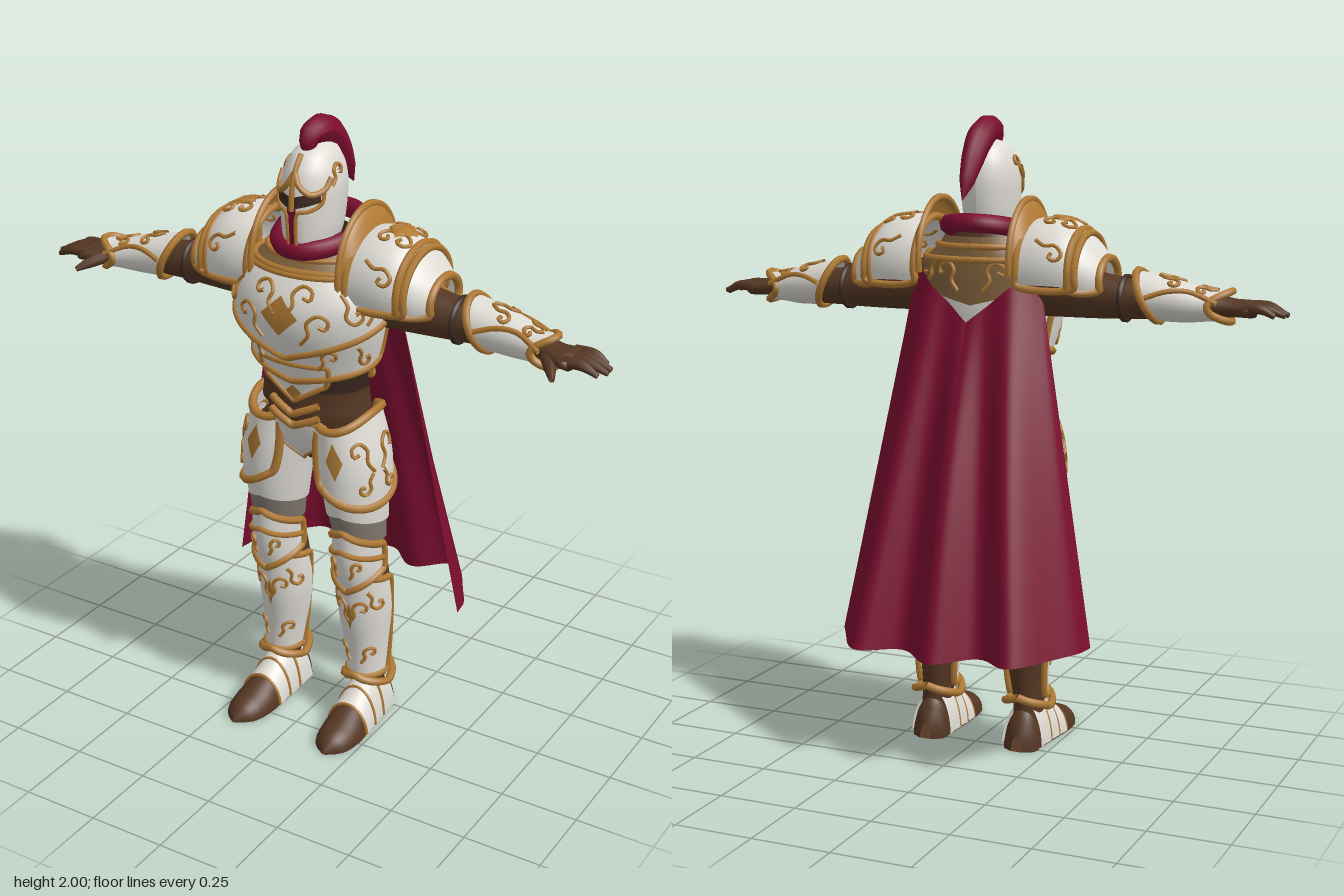
import * as THREE from 'three';

const mat = (name, color) => new THREE.MeshStandardMaterial({ name, color, side: THREE.DoubleSide });
const white = mat('white plate', 0xdedbd4), gold = mat('gold trim', 0xb07a34), crimson = mat('crimson cloth', 0x7c0d30);
const brown = mat('brown leather', 0x553723), dark = mat('dark leather', 0x3d2a20);
const mail = mat('grey mail', 0x827a70), bronze = mat('dull bronze', 0x80623c);

const val = (f, a) => (typeof f === 'function' ? f(a) : f);
const add = (parent, name, geometry, material) => {
  const m = new THREE.Mesh(geometry, material);
  m.name = name;
  parent.add(m);
  return m;
};

// Smooth elliptical surface along an axis; rows are [t, centre1, centre2, radius1, radius2].
// Angle 0 faces the front (axis y) or up (axes x and z).
function surface(axis, rows) {
  const spline = new THREE.CubicInterpolant(rows.map(r => r[0]), rows.flatMap(r => r.slice(1)), 4);
  const f = (a, t, off = 0) => {
    const [c, d, r, q] = spline.evaluate(t), s = Math.sin(a * Math.PI / 180), k = Math.cos(a * Math.PI / 180);
    const R = Math.max(r + off, 0), Q = Math.max(q + off, 0);
    if (axis === 'y') return new THREE.Vector3(c + R * s, t, d + Q * k);
    if (axis === 'x') return new THREE.Vector3(t, c + R * k, d + Q * s);
    return new THREE.Vector3(c - R * s, Math.max(0, d + Q * k), t);
  };
  f.radius = t => { const v = spline.evaluate(t); return (v[2] + v[3]) / 2; };
  return f;
}

function grid(nu, nv, point) {
  const pos = [], index = [];
  for (let j = 0; j <= nv; j++) for (let i = 0; i <= nu; i++) pos.push(...point(i / nu, j / nv).toArray());
  for (let j = 0; j < nv; j++) for (let i = 0; i < nu; i++) {
    const p = j * (nu + 1) + i, q = p + nu + 1;
    index.push(p, p + 1, q + 1, p, q + 1, q);
  }
  const g = new THREE.BufferGeometry();
  g.setAttribute('position', new THREE.Float32BufferAttribute(pos, 3));
  g.setIndex(index);
  g.computeVertexNormals();
  return g;
}

// Patch of a surface; its two edges may vary with the angle.
function plate(parent, name, material, surf, a0, a1, t0, t1, off = 0, nT = 10) {
  return add(parent, name, grid(32, nT, (u, v) => {
    const a = a0 + (a1 - a0) * u;
    return surf(a, THREE.MathUtils.lerp(val(t0, a), val(t1, a), v), off);
  }), material);
}

// Raised gold line through [angle, t] points of a surface.
function line(parent, surf, pts, off, r = 0.009, closed = false, material = gold) {
  const curve = new THREE.CatmullRomCurve3(pts.map(([a, t]) => surf(a, t, off)), closed);
  return add(parent, 'trim', new THREE.TubeGeometry(curve, pts.length * 3, r, 6, closed), material);
}
const along = (a0, a1, t, n = 16) =>
  Array.from({ length: n + 1 }, (_, i) => { const a = a0 + (a1 - a0) * i / n; return [a, val(t, a)]; });

// White plate with a gold border.
function armour(parent, name, surf, a0, a1, t0, t1, off, r = 0.011) {
  plate(parent, name, white, surf, a0, a1, t0, t1, off);
  if (a1 - a0 >= 360) for (const t of [t0, t1]) line(parent, surf, along(a0, a1, t), off, r);
  else line(parent, surf, [...along(a0, a1, t0), ...along(a1, a0, t1)], off, r, true);
}

const CURL = [[-0.3, -1], [0.1, -0.3], [0, 0.4], [0.5, 0.9], [1, 0.6], [0.9, 0.1], [0.55, 0.25]];
function curl(parent, surf, a, t, size, sa, st, off) {
  const k = size * 57.3 / surf.radius(t);
  line(parent, surf, CURL.map(([u, v]) => [a + sa * u * k, t + st * v * size]), off, 0.006).name = 'filigree';
}
const diamond = (parent, surf, a, t, da, dt, off) => plate(parent, 'emblem', gold, surf, a - da, a + da,
  x => t - dt * (1 - Math.abs(x - a) / da), x => t + dt * (1 - Math.abs(x - a) / da), off, 3);

// Tube with changing thickness; sx flattens it sideways.
function taper(parent, name, material, pts, radii, sx = 1, n = 24) {
  const curve = new THREE.CatmullRomCurve3(pts.map(p => new THREE.Vector3(...p)));
  const g = new THREE.TubeGeometry(curve, n, 1, 10), p = g.attributes.position, v = new THREE.Vector3();
  for (let i = 0; i < p.count; i++) {
    const s = Math.floor(i / 11) / n, c = curve.getPointAt(s), w = curve.getUtoTmapping(s) * (radii.length - 1);
    const k = Math.min(Math.floor(w), radii.length - 2), r = THREE.MathUtils.lerp(radii[k], radii[k + 1], w - k);
    v.fromBufferAttribute(p, i).sub(c).multiplyScalar(r);
    p.setXYZ(i, c.x + v.x * sx, c.y + v.y, c.z + v.z);
  }
  g.computeVertexNormals();
  return add(parent, name, g, material);
}

function mirrored(group, name) {
  const out = new THREE.Group();
  out.name = name;
  for (const m of group.children) {
    const g = m.geometry.clone().scale(-1, 1, 1), ix = g.index.array;
    for (let i = 0; i < ix.length; i += 3) [ix[i], ix[i + 1]] = [ix[i + 1], ix[i]];
    add(out, m.name, g, m.material);
  }
  return out;
}

function buildTorso() {
  const g = new THREE.Group();
  g.name = 'torso';
  const body = surface('y', [[0.92, 0, 0.1, 0.03, 0.05], [0.98, 0, 0.1, 0.12, 0.095], [1.08, 0, 0.11, 0.165, 0.115],
    [1.18, 0, 0.115, 0.16, 0.11], [1.28, 0, 0.12, 0.19, 0.13], [1.4, 0, 0.132, 0.218, 0.155],
    [1.48, 0, 0.13, 0.22, 0.152], [1.55, 0, 0.112, 0.19, 0.13], [1.6, 0, 0.095, 0.13, 0.105], [1.66, 0, 0.09, 0.09, 0.085]]);
  plate(g, 'undersuit', brown, body, -180, 180, 0.92, 1.66, 0, 30);
  plate(g, 'lower belt', brown, body, -180, 180, 1.11, 1.18, 0.014, 3);
  plate(g, 'upper belt', dark, body, -180, 180, 1.18, 1.25, 0.008, 3);
  armour(g, 'waist plate', body, -34, 34, a => 1.15 + Math.abs(a) * 0.0018, 1.28, 0.016, 0.009);
  armour(g, 'abdomen plate', body, -105, 105, a => 1.22 + Math.abs(a) * 0.0006, 1.42, 0.018);
  armour(g, 'breastplate', body, -100, 100, a => 1.31 + Math.abs(a) * 0.0013, 1.57, 0.032);
  armour(g, 'back plate', body, 100, 260, 1.22, 1.57, 0.014);
  plate(g, 'back collar plate', bronze, body, 118, 242, a => 1.42 + Math.abs(a - 180) * 0.001, 1.61, 0.022);
  plate(g, 'gorget', bronze, body, -180, 180, 1.555, 1.63, 0.028, 4);
  for (const t of [1.56, 1.6]) line(g, body, along(-180, 180, t, 24), 0.03, 0.01);
  armour(g, 'groin plate', body, -32, 32, a => 0.935 + Math.abs(a) * 0.0022, 1.08, 0.022, 0.005);
  for (const y of [1.09, 1.13]) line(g, body, along(-26, 26, a => y - 0.02 + Math.abs(a) * 0.0014, 8), 0.026, 0.012);
  diamond(g, body, 0, 1.45, 14, 0.06, 0.038);
  diamond(g, body, 0, 1.18, 9, 0.025, 0.022);
  for (const s of [-1, 1]) {
    curl(g, body, s * 8, 1.5, 0.045, s, 1, 0.034);
    curl(g, body, s * 20, 1.42, 0.05, s, 1, 0.034);
    curl(g, body, s * 48, 1.48, 0.045, s, -1, 0.034);
    curl(g, body, s * 70, 1.47, 0.04, s, 1, 0.034);
    curl(g, body, s * 30, 1.31, 0.035, s, 1, 0.02);
    curl(g, body, s * 65, 1.32, 0.035, s, -1, 0.02);
    curl(g, body, 180 + s * 14, 1.51, 0.045, s, 1, 0.026);
    curl(g, body, 180 + s * 38, 1.52, 0.035, s, -1, 0.026);
  }
  // Rolled cloth around the neck
  const scarf = new THREE.CatmullRomCurve3(Array.from({ length: 16 }, (_, i) => {
    const a = i / 8 * Math.PI;
    return new THREE.Vector3(0.112 * Math.sin(a), 1.65 - 0.025 * Math.cos(a), 0.085 + 0.145 * Math.cos(a));
  }), true);
  add(g, 'neck scarf', new THREE.TubeGeometry(scarf, 48, 0.03, 8, true), crimson);
  return g;
}

function buildHead() {
  const g = new THREE.Group();
  g.name = 'head';
  const helm = surface('y', [[1.61, 0, 0.14, 0.062, 0.095], [1.66, 0, 0.13, 0.078, 0.112], [1.75, 0, 0.122, 0.088, 0.122],
    [1.82, 0, 0.118, 0.088, 0.118], [1.88, 0, 0.114, 0.07, 0.095], [1.915, 0, 0.11, 0.042, 0.058], [1.93, 0, 0.11, 0, 0]]);
  plate(g, 'helmet', white, helm, -180, 180, 1.61, 1.93, 0, 24);
  plate(g, 'visor slit', dark, helm, -50, 50, a => 1.755 + Math.abs(a) * 0.0004, a => 1.79 + Math.abs(a) * 0.0004, 0.004, 2);
  plate(g, 'mouth slit', crimson, helm, -9, 9, 1.63, 1.76, 0.004, 4);
  for (const s of [-1, 1]) {
    line(g, helm, [[s * 10, 1.63], [s * 9, 1.7], [s * 12, 1.745], [s * 30, 1.75], [s * 52, 1.77], [s * 56, 1.81]], 0.004, 0.006);
    line(g, helm, [[0, 1.86], [s * 12, 1.825], [s * 32, 1.8], [s * 56, 1.81], [s * 68, 1.84]], 0.004, 0.009);
    curl(g, helm, s * 75, 1.845, 0.03, s, 1, 0.004);
  }
  line(g, helm, [[0, 1.75], [0, 1.8], [0, 1.86], [0, 1.905]], 0.004, 0.009);
  line(g, helm, along(-100, 100, a => 1.615 + Math.abs(a) * 0.0003), 0.003, 0.008);
  // Swept-back crest
  taper(g, 'plume', crimson, [[0, 1.9, 0.15], [0, 1.945, 0.145], [0, 1.953, 0.09], [0, 1.925, 0.03], [0, 1.865, -0.025],
    [0, 1.8, -0.068], [0, 1.745, -0.102]], [0.022, 0.036, 0.046, 0.048, 0.04, 0.027, 0.002], 0.85);
  return g;
}

function buildArm() {
  const g = new THREE.Group();
  g.name = 'leftArm';
  const arm = surface('x', [[0.15, 1.47, 0.08, 0.085, 0.085], [0.3, 1.465, 0.075, 0.08, 0.078], [0.42, 1.455, 0.07, 0.068, 0.07],
    [0.5, 1.45, 0.07, 0.06, 0.063], [0.65, 1.445, 0.08, 0.052, 0.055], [0.75, 1.435, 0.1, 0.036, 0.045],
    [0.81, 1.432, 0.115, 0.026, 0.055], [0.86, 1.43, 0.118, 0.022, 0.055], [0.875, 1.43, 0.118, 0, 0]]);
  plate(g, 'sleeve and palm', brown, arm, -180, 180, 0.15, 0.875, 0, 30);
  line(g, arm, along(-180, 180, 0.47), 0.002, 0.01, false, dark);
  const bracer = surface('x', [[0.49, 1.457, 0.075, 0.084, 0.086], [0.57, 1.455, 0.077, 0.07, 0.078],
    [0.66, 1.445, 0.085, 0.06, 0.068], [0.74, 1.437, 0.1, 0.046, 0.06], [0.8, 1.437, 0.11, 0.046, 0.068]]);
  armour(g, 'bracer', bracer, -180, 180, a => 0.54 - 0.035 * Math.cos(a * Math.PI / 180),
    a => 0.76 + 0.03 * Math.cos(a * Math.PI / 90), 0, 0.012);
  for (const s of [-1, 1]) {
    line(g, bracer, [[s * 85, 0.55], [s * 60, 0.62], [s * 50, 0.68], [s * 75, 0.76]], 0.003, 0.008);
    curl(g, bracer, s * 12, 0.61, 0.035, s, 1, 0.003);
    curl(g, bracer, s * 12, 0.72, 0.028, s, -1, 0.003);
  }
  [[0.07, 0.93], [0.1, 0.955], [0.13, 0.958], [0.16, 0.94]].forEach(([z, x]) =>
    taper(g, 'finger', brown, [[0.83, 1.435, z], [0.89, 1.436, z], [x, 1.415, z]], [0.018, 0.016, 0.008], 1, 8));
  taper(g, 'thumb', brown, [[0.77, 1.43, 0.13], [0.805, 1.415, 0.18], [0.83, 1.4, 0.22]], [0.022, 0.018, 0.008], 1, 8);

  // Domed shoulder with an upright flange toward the neck
  const dome = surface('x', [[0.15, 1.53, 0.07, 0.145, 0.155], [0.24, 1.535, 0.07, 0.15, 0.16], [0.31, 1.53, 0.07, 0.14, 0.15],
    [0.37, 1.515, 0.07, 0.105, 0.125], [0.42, 1.5, 0.07, 0.06, 0.08]]);
  armour(g, 'pauldron', dome, -105, 105, 0.17, 0.35, 0.006, 0.012);
  armour(g, 'pauldron lower lame', dome, -110, 110, 0.33, 0.41, 0, 0.013);
  const flange = surface('x', [[0.15, 1.555, 0.07, 0.19, 0.168], [0.165, 1.55, 0.07, 0.18, 0.163], [0.19, 1.53, 0.07, 0.145, 0.155]]);
  plate(g, 'pauldron flange', gold, flange, -100, 100, 0.15, 0.19, 0, 4);
  line(g, flange, along(-100, 100, 0.15), 0, 0.011);
  diamond(g, dome, 0, 0.275, 20, 0.045, 0.012);
  for (const s of [-1, 1]) {
    curl(g, dome, s * 8, 0.28, 0.045, s, 1, 0.008);
    curl(g, dome, s * 10, 0.26, 0.04, s, -1, 0.008);
    curl(g, dome, s * 58, 0.27, 0.045, s, 1, 0.008);
  }
  return g;
}

function buildLeg() {
  const g = new THREE.Group();
  g.name = 'leftLeg';
  const leg = surface('y', [[0.06, 0.163, 0.06, 0.05, 0.07], [0.15, 0.16, 0.06, 0.048, 0.062], [0.25, 0.155, 0.055, 0.056, 0.07],
    [0.38, 0.15, 0.055, 0.072, 0.092], [0.46, 0.15, 0.06, 0.073, 0.092], [0.6, 0.15, 0.08, 0.066, 0.085],
    [0.67, 0.15, 0.095, 0.068, 0.088], [0.76, 0.145, 0.108, 0.078, 0.098], [0.9, 0.132, 0.11, 0.088, 0.108], [1.04, 0.1, 0.105, 0.085, 0.1]]);
  plate(g, 'leather legging', brown, leg, -180, 180, 0.06, 1.04, 0, 36);
  plate(g, 'knee mail', mail, leg, -110, 110, 0.67, 0.79, 0.01, 4);
  plate(g, 'thigh plate', white, leg, -155, 155, a => 0.78 - Math.abs(a) * 0.0004, 1.0, 0.014);
  armour(g, 'greave', leg, -98, 98, 0.17, a => 0.56 - Math.abs(a) * 0.0004, 0.013);
  line(g, leg, along(-180, 180, a => 0.135 + 0.04 * Math.abs(1 - Math.abs(a) / 90)), 0.026, 0.013);
  const knee = surface('y', [[0.47, 0.15, 0.07, 0.073, 0.1], [0.55, 0.15, 0.085, 0.08, 0.112],
    [0.62, 0.15, 0.09, 0.08, 0.118], [0.72, 0.148, 0.1, 0.08, 0.108]]);
  armour(g, 'knee plate', knee, -88, 88, a => 0.5 + Math.abs(a) * 0.0008, a => 0.72 - Math.abs(a) * 0.0007, 0, 0.013);
  line(g, knee, along(-85, 85, a => 0.655 - Math.abs(a) * 0.0005), 0.004, 0.009);
  // Hip guard
  const hip = surface('y', [[0.78, 0.138, 0.11, 0.108, 0.135], [0.95, 0.132, 0.11, 0.11, 0.14], [1.11, 0.11, 0.11, 0.09, 0.125]]);
  armour(g, 'tasset', hip, -28, 165, a => 0.82 + 0.08 * ((a - 65) / 100) ** 2, a => 1.09 - 0.02 * Math.cos(a / 30), 0, 0.014);
  for (const s of [-1, 1]) {
    curl(g, hip, 75 + s * 14, 0.99, 0.05, s, 1, 0.003);
    curl(g, hip, 75 + s * 14, 0.9, 0.035, s, -1, 0.003);
    curl(g, leg, s * 8, 0.42, 0.04, s, 1, 0.015);
    curl(g, leg, s * 45, 0.46, 0.035, s, -1, 0.015);
    curl(g, leg, s * 25, 0.25, 0.03, s, 1, 0.015);
    curl(g, knee, s * 20, 0.59, 0.03, s, 1, 0.004);
  }
  diamond(g, hip, 8, 0.98, 14, 0.06, 0.005);
  diamond(g, leg, 0, 0.4, 8, 0.05, 0.017);
  // Armoured boot
  const boot = surface('z', [[-0.042, 0.16, 0, 0.02, 0.05], [-0.03, 0.16, 0, 0.045, 0.09], [0.03, 0.16, 0, 0.055, 0.14],
    [0.1, 0.162, 0, 0.062, 0.14], [0.18, 0.165, 0, 0.068, 0.1], [0.26, 0.168, 0, 0.068, 0.07], [0.33, 0.17, 0, 0.045, 0.045], [0.36, 0.172, 0, 0.005, 0.01]]);
  plate(g, 'boot', brown, boot, -180, 180, -0.042, 0.36, 0, 20);
  [[0.02, 0.08], [0.08, 0.14], [0.14, 0.2]].forEach(([p, q], i) => {
    plate(g, 'boot lame', white, boot, -86, 86, a => p - Math.abs(a) * 0.0002, q, 0.012 - i * 0.003, 3);
    line(g, boot, along(-86, 86, q), 0.009 - i * 0.003, 0.005);
  });
  return g;
}

// Flared cape with deepening folds and a dipped top edge
function buildCape() {
  return grid(96, 28, (u, v) => {
    const s = 1 - 2 * u, w = Math.abs(s), t = 1 - v;
    const fold = -0.045 * Math.cos(2 * Math.PI * s / 0.62);
    const top = new THREE.Vector3(0.205 * s, 1.37 + 0.17 * w, -0.068 + 0.075 * w * w + 0.15 * fold);
    const hem = new THREE.Vector3(0.415 * s, 0.36 + 0.02 * w, -0.1 - 0.22 * Math.sqrt(1 - w ** 4) + fold);
    const p = top.lerp(hem, t);
    p.z -= 0.02 * Math.sin(Math.PI * t) * (1 - w);
    return p;
  });
}

export function createModel() {
  const model = new THREE.Group();
  model.name = 'armouredKnight';
  const arm = buildArm(), leg = buildLeg();
  model.add(buildTorso(), buildHead(), arm, mirrored(arm, 'rightArm'), leg, mirrored(leg, 'rightLeg'));
  add(model, 'cape', buildCape(), crimson);
  return model;
}
